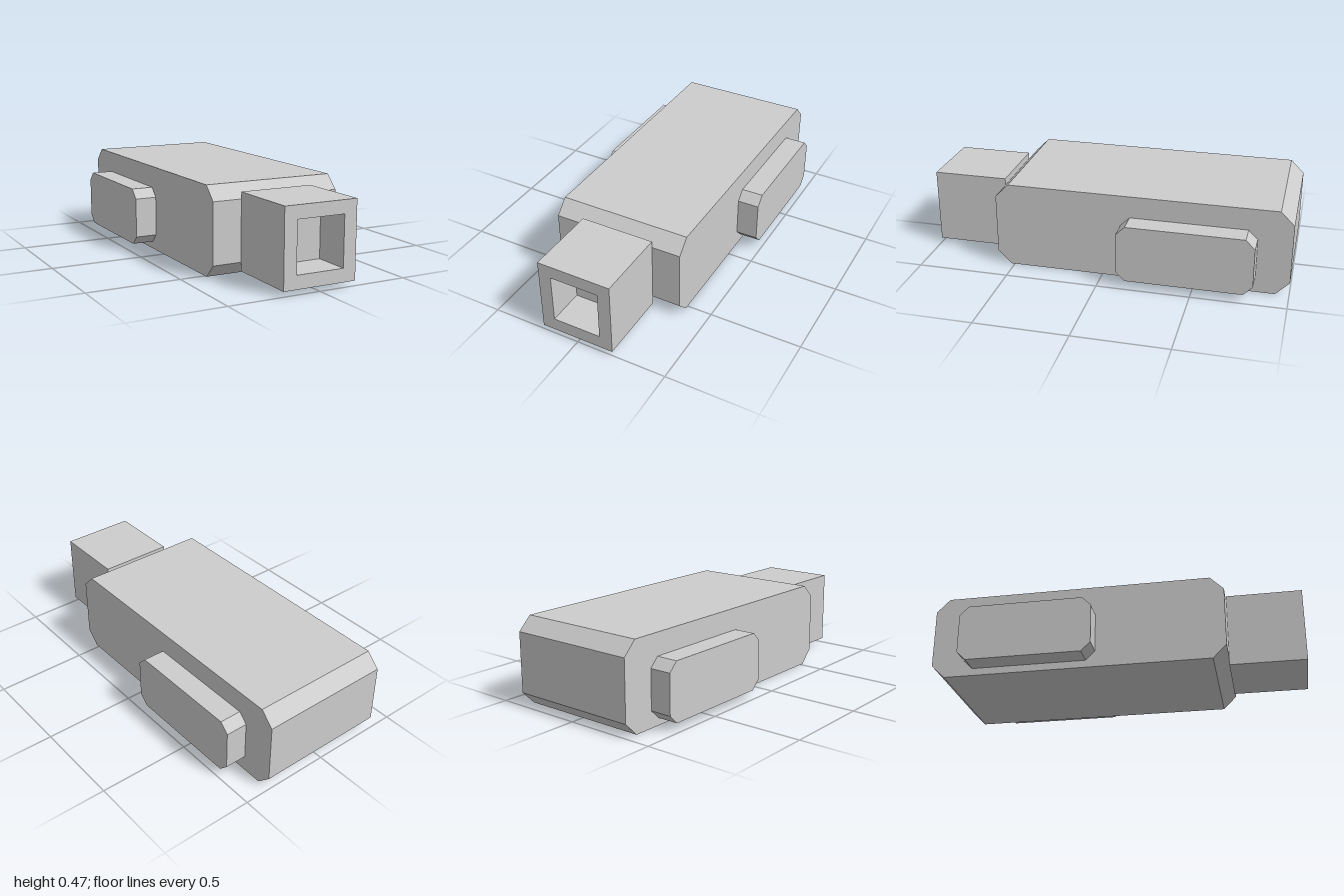
import * as THREE from 'three';

// Rectangle outline with cut corners
function chamferedRect(x0, x1, y0, y1, c) {
  return new THREE.Shape([
    [x0 + c, y0], [x1 - c, y0], [x1, y0 + c], [x1, y1 - c],
    [x1 - c, y1], [x0 + c, y1], [x0, y1 - c], [x0, y0 + c],
  ].map(([x, y]) => new THREE.Vector2(x, y)));
}

function rectPoints(w, y0, y1) {
  return [[-w, y0], [w, y0], [w, y1], [-w, y1]].map(([x, y]) => new THREE.Vector2(x, y));
}

// Side profile (z, y) extruded across x from x0 to x1
function sideExtrude(shape, x0, x1) {
  const g = new THREE.ExtrudeGeometry(shape, { depth: x1 - x0, bevelEnabled: false });
  g.rotateY(-Math.PI / 2);
  g.translate(x1, 0, 0);
  return g;
}

export function createModel() {
  const group = new THREE.Group();
  const grey = new THREE.MeshStandardMaterial({ color: 0xcccccc });
  grey.name = 'plain grey';
  const add = (name, geometry) => {
    const mesh = new THREE.Mesh(geometry, grey);
    mesh.name = name;
    group.add(mesh);
    return mesh;
  };

  // Main casing, chamfered along the front and back edges
  add('casing', sideExtrude(chamferedRect(-1, 0.592, 0, 0.471, 0.073), -0.362, 0.362));

  // Raised grips on both sides
  const grip = chamferedRect(-0.82, -0.1, 0.04, 0.352, 0.049);
  add('leftGrip', sideExtrude(grip, 0.362, 0.481));
  add('rightGrip', sideExtrude(grip, -0.481, -0.362));

  // Plug: hollow front half and solid rear half
  const sleeve = new THREE.Shape(rectPoints(0.204, 0.026, 0.435));
  sleeve.holes.push(new THREE.Path(rectPoints(0.133, 0.097, 0.365)));
  const sleeveGeometry = new THREE.ExtrudeGeometry(sleeve, { depth: 0.205, bevelEnabled: false });
  add('plugSleeve', sleeveGeometry).position.z = 0.795;
  add('plugBase', new THREE.BoxGeometry(0.408, 0.409, 0.203)).position.set(0, 0.2305, 0.6935);

  return group;
}
